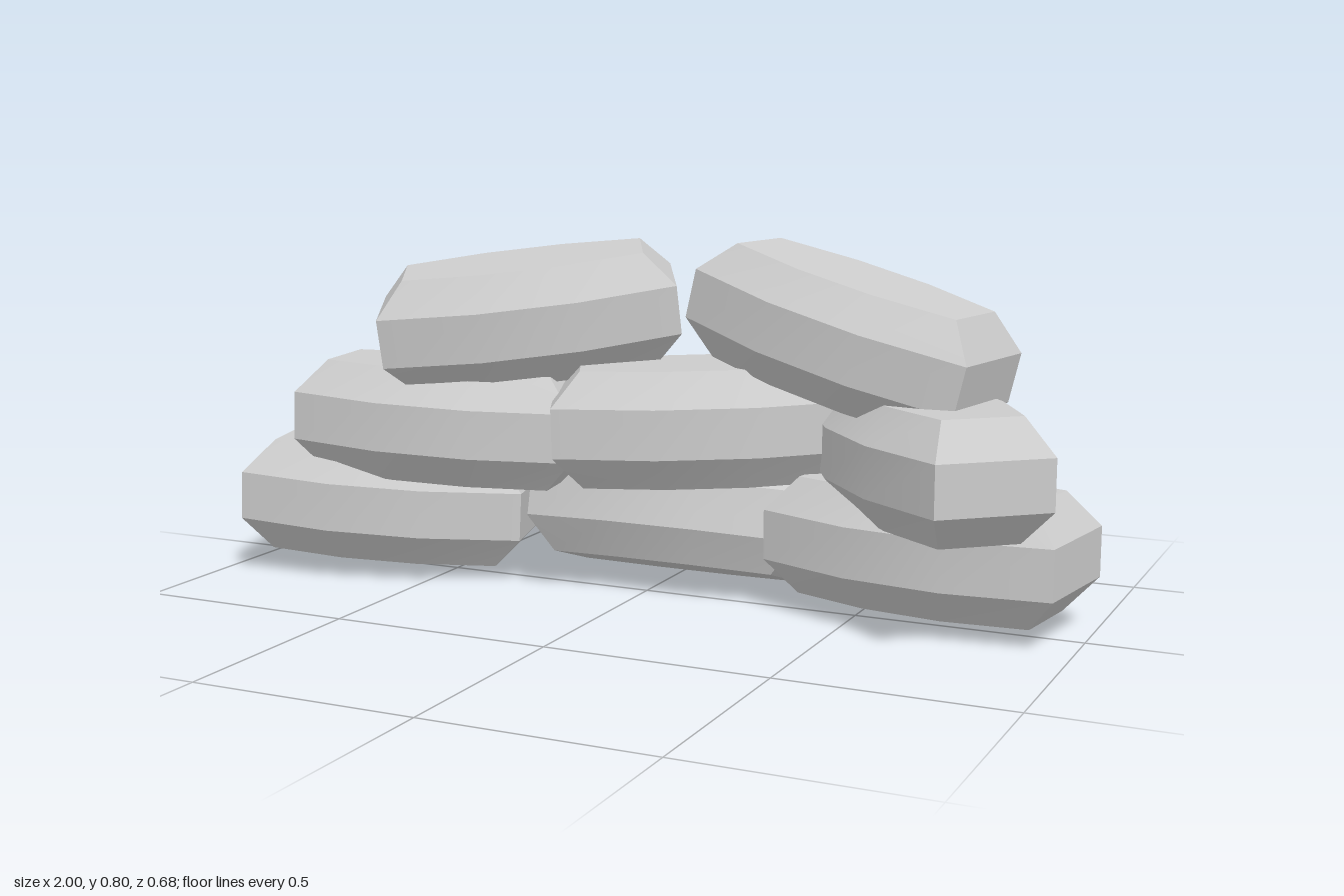
import * as THREE from 'three';
import { toCreasedNormals } from 'three/addons/utils/BufferGeometryUtils.js';

// One filled bag: four stacked outlines, wide in the middle, drawn in at top and bottom
function bagGeometry() {
  const rings = [
    // height, half length, half width at the ends, half width in the middle
    [-0.13, 0.27, 0.09, 0.13],
    [-0.055, 0.335, 0.13, 0.185],
    [0.055, 0.335, 0.13, 0.185],
    [0.13, 0.27, 0.09, 0.13],
  ];
  const positions = [];
  for (const [y, l, e, m] of rings) {
    const t = l / 3;
    const outline = [[l, e], [l, -e], [t, -m], [-t, -m], [-l, -e], [-l, e], [-t, m], [t, m]];
    for (const [x, z] of outline) positions.push(x, y, z);
  }
  const n = 8;
  const index = [];
  for (let r = 0; r < rings.length - 1; r++) {
    for (let i = 0; i < n; i++) {
      const a = r * n + i;
      const b = r * n + (i + 1) % n;
      index.push(a, b, b + n, a, b + n, a + n);
    }
  }
  // Flat top and bottom
  const top = (rings.length - 1) * n;
  for (let i = 1; i < n - 1; i++) {
    index.push(top, top + i, top + i + 1);
    index.push(0, i + 1, i);
  }
  const geometry = new THREE.BufferGeometry();
  geometry.setAttribute('position', new THREE.Float32BufferAttribute(positions, 3));
  geometry.setIndex(index);
  return toCreasedNormals(geometry, THREE.MathUtils.degToRad(28));
}

export function createModel() {
  const group = new THREE.Group();
  group.name = 'sandbagPile';
  const geometry = bagGeometry();
  const material = new THREE.MeshStandardMaterial({ color: 0xcccccc });

  // name, centre, then yaw, slope along the bag and roll about its length in degrees
  const bags = [
    ['bottomRightBag', [-0.64, 0.17, 0.045], 15.5, -2.5, 0],
    ['bottomMiddleBag', [0.03, 0.16, -0.13], 0, 0, -18],
    ['bottomLeftBag', [0.65, 0.165, -0.04], -8.5, 0, 0],
    ['middleRightBag', [-0.475, 0.37, 0.06], 9, -2, 0],
    ['middleCentreBag', [0.125, 0.395, -0.03], 25.5, 1.5, 0],
    ['middleLeftBag', [0.65, 0.357, 0], -49, 0, 0],
    ['topRightBag', [-0.29, 0.615, 0.01], 27, 6.5, 6],
    ['topLeftBag', [0.465, 0.605, -0.035], -10, -14, 0],
  ];
  for (const [name, centre, yaw, slope, roll] of bags) {
    const bag = new THREE.Mesh(geometry, material);
    bag.name = name;
    bag.position.set(...centre);
    const [x, y, z] = [roll, yaw, slope].map(THREE.MathUtils.degToRad);
    bag.rotation.set(x, y, z, 'YZX');
    group.add(bag);
  }
  return group;
}
